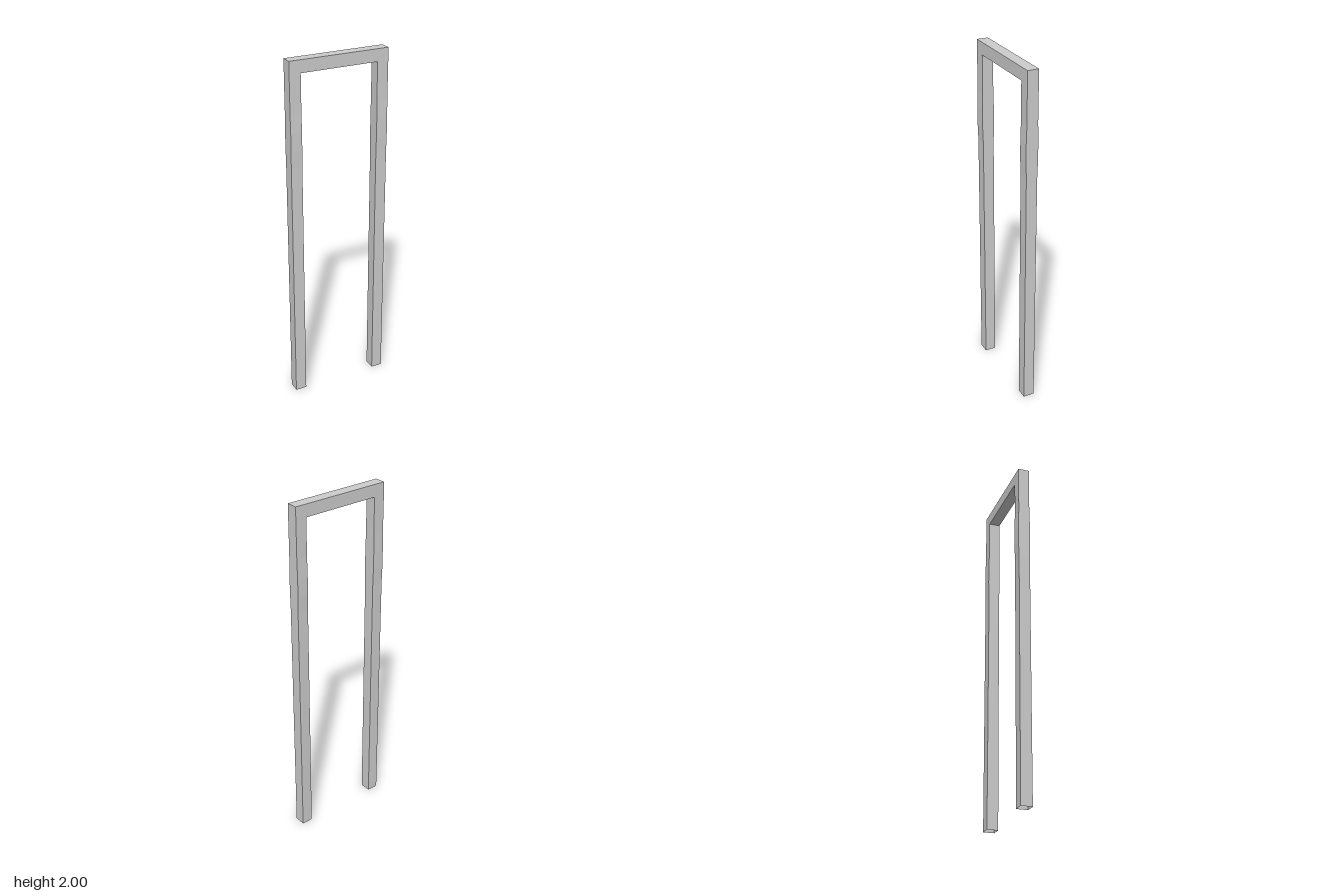
import * as THREE from 'three';

const OUTER = 0.29, INNER = 0.225, TOP = 2, UNDER = 1.93, DEPTH = 0.032;

// Square section between an outer and an inner point, h deep to each side
function ring(outer, inner, h = DEPTH) {
  return [[...outer, h], [...inner, h], [...inner, -h], [...outer, -h]];
}

// Open-ended square tube through a row of sections
function squareTube(rings) {
  const pos = [];
  for (let i = 0; i < rings.length - 1; i++) {
    for (let j = 0; j < 4; j++) {
      const k = (j + 1) % 4;
      const a = rings[i][j], b = rings[i][k], c = rings[i + 1][k], d = rings[i + 1][j];
      pos.push(...a, ...b, ...c, ...a, ...c, ...d);
    }
  }
  const geo = new THREE.BufferGeometry();
  geo.setAttribute('position', new THREE.Float32BufferAttribute(pos, 3));
  geo.computeVertexNormals();
  return geo;
}

export function createModel() {
  const group = new THREE.Group();
  const material = new THREE.MeshStandardMaterial({
    color: 0xcccccc, flatShading: true, side: THREE.DoubleSide,
  });
  const add = (name, rings) => {
    const mesh = new THREE.Mesh(squareTube(rings), material);
    mesh.name = name;
    group.add(mesh);
  };
  const corner = (s) => ring([s * OUTER, TOP], [s * INNER, UNDER]);

  // Legs: hollow underneath, a faint swelling at y 1.5 to 1.6, mitred at the top
  const swelling = [[0, DEPTH], [1.42, DEPTH], [1.51, 0.035], [1.61, 0.035], [1.72, DEPTH]];
  for (const [name, s] of [['rightLeg', -1], ['leftLeg', 1]]) {
    const rings = swelling.map(([y, h]) => ring([s * OUTER, y], [s * INNER, y], h));
    rings.push(corner(s));
    add(name, s < 0 ? rings : rings.reverse());
  }

  // Crossbar between the two mitred corners
  add('crossbar', [corner(-1), corner(1)]);
  return group;
}
